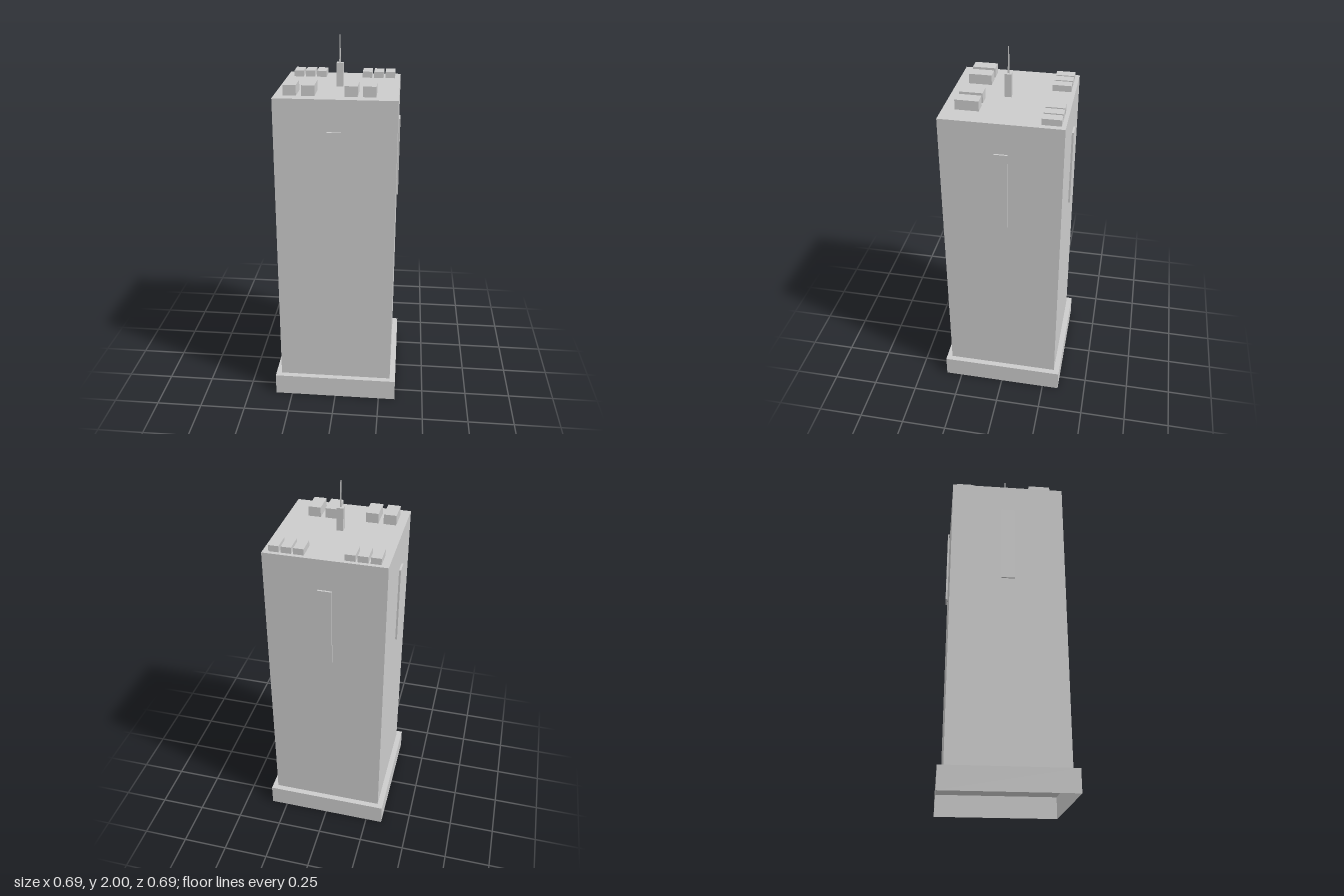
import * as THREE from 'three';

export function createModel() {
  const model = new THREE.Group();
  model.name = 'tower';
  const grey = new THREE.MeshStandardMaterial({ color: 0xcccccc, flatShading: true });
  const greyOpen = grey.clone();
  greyOpen.side = THREE.DoubleSide;

  // Box given by its lower and upper corner on each axis
  function addBox(name, [x0, x1], [y0, y1], [z0, z1], parent = model) {
    const mesh = new THREE.Mesh(new THREE.BoxGeometry(x1 - x0, y1 - y0, z1 - z0), grey);
    mesh.position.set((x0 + x1) / 2, (y0 + y1) / 2, (z0 + z1) / 2);
    mesh.name = name;
    parent.add(mesh);
    return mesh;
  }

  // Plinth: a hollow box, open underneath
  const plinthTop = 0.12, roof = 1.737;
  const plinth = addBox('plinth', [-0.343, 0.342], [0, plinthTop], [-0.343, 0.342]);
  const faces = Array.from(plinth.geometry.index.array);
  faces.splice(18, 6); // drop the bottom face
  plinth.geometry.setIndex(faces);
  plinth.geometry.clearGroups();
  plinth.material = greyOpen;

  // Main shaft
  addBox('shaft', [-0.312, 0.311], [plinthTop, roof], [-0.312, 0.311]);

  // Tall thin panel on each side
  const panelY = [1.143, 1.573];
  addBox('frontPanel', [-0.04, 0.032], panelY, [0.312, 0.323]);
  addBox('backPanel', [-0.04, 0.032], panelY, [-0.327, -0.317]);
  addBox('leftPanel', [0.31, 0.32], panelY, [-0.037, 0.034]);
  addBox('rightPanel', [-0.329, -0.319], panelY, [-0.037, 0.034]);

  // Roof units: two pairs at the front, two rows of three at the back
  const roofUnits = new THREE.Group();
  roofUnits.name = 'roofUnits';
  model.add(roofUnits);
  for (const x of [-0.266, -0.173, 0.042, 0.134])
    addBox('largeRoofUnit', [x, x + 0.066], [roof, 1.79], [0.127, 0.248], roofUnits);
  for (const start of [-0.274, 0.104])
    for (let i = 0; i < 3; i++) {
      const x = start + i * 0.0627;
      addBox('smallRoofUnit', [x, x + 0.052], [roof, 1.77], [-0.291, -0.194], roofUnits);
    }

  // Mast block with a tapering square antenna
  addBox('mastBlock', [-0.018, 0.017], [roof, 1.86], [0, 0.034]);
  const antenna = new THREE.Mesh(
    new THREE.CylinderGeometry(0.003, 0.006, 0.14, 4).rotateY(Math.PI / 4), grey);
  antenna.position.set(-0.001, 1.93, 0.017);
  antenna.name = 'antenna';
  model.add(antenna);

  return model;
}
